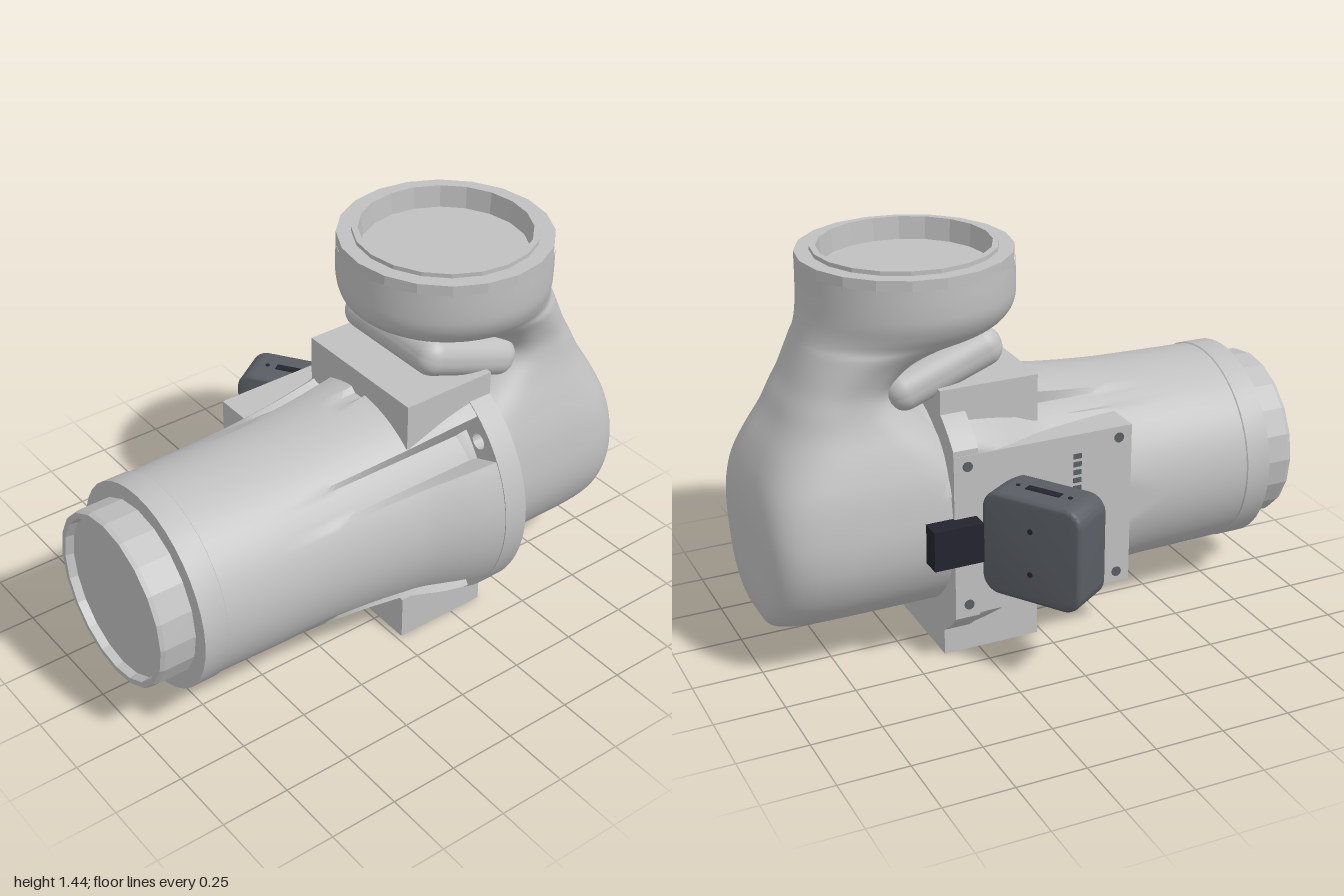
import * as THREE from 'three';
import { toCreasedNormals } from 'three/addons/utils/BufferGeometryUtils.js';
import { RoundedBoxGeometry } from 'three/addons/geometries/RoundedBoxGeometry.js';

const CX = 0.115, CY = 0.505; // main axis of the arm, along z

const shell = new THREE.MeshStandardMaterial({ name: 'light grey shell', color: 0xc0c0c0 });
const casing = new THREE.MeshStandardMaterial({ name: 'dark grey casing', color: 0x5a5e64 });
const black = new THREE.MeshStandardMaterial({ name: 'black plastic', color: 0x23242e });

function add(parent, name, geo, mat, x = 0, y = 0, z = 0) {
  const mesh = new THREE.Mesh(geo, mat);
  mesh.name = name;
  mesh.position.set(x, y, z);
  parent.add(mesh);
  return mesh;
}

const turned = (points, sides) =>
  new THREE.LatheGeometry(points.map(p => new THREE.Vector2(...p)), sides);

// Flared forearm with screw channels cut in and one side flattened
function forearmGeometry() {
  const profile = [[0.366, 0.78], [0.37, 0.6], [0.376, 0.4], [0.384, 0.28], [0.395, 0.16],
    [0.408, 0.06], [0.42, -0.02], [0.442, -0.1], [0.465, -0.18], [0.48, -0.25], [0.487, -0.295]];
  const curve = new THREE.SplineCurve(profile.reverse().map(p => new THREE.Vector2(...p)));
  const geo = new THREE.LatheGeometry(curve.getPoints(40), 144);
  geo.rotateX(Math.PI / 2);
  const channels = [[40, 0.15, 0.372], [-40, 0.15, 0.372], [120, 0.13, 0.372], [-120, 0.13, 0.372],
    [90, 0.05, 0.4], [-90, 0.05, 0.4]];
  const pos = geo.attributes.position;
  for (let i = 0; i < pos.count; i++) {
    let r = Math.hypot(pos.getX(i), pos.getY(i));
    const a = Math.atan2(pos.getY(i), pos.getX(i));
    for (const [deg, half, floor] of channels) {
      if (Math.abs(a - deg * Math.PI / 180) < half) r = Math.min(r, floor);
    }
    pos.setXY(i, Math.max(r * Math.cos(a), -0.375), r * Math.sin(a));
  }
  return toCreasedNormals(geo, 0.6);
}

// D-shaped flange with two bolt holes
function flangeGeometry() {
  const end = Math.acos(-0.375 / 0.49);
  const shape = new THREE.Shape();
  shape.absarc(0, 0, 0.49, -end, end, false);
  shape.closePath();
  for (const s of [1, -1]) {
    const hole = new THREE.Path();
    hole.absarc(0.325, s * 0.275, 0.03, 0, Math.PI * 2, true);
    shape.holes.push(hole);
  }
  const geo = new THREE.ExtrudeGeometry(shape, { depth: 0.09, bevelEnabled: false, curveSegments: 48 });
  return toCreasedNormals(geo, 0.6);
}

// Elbow lofted from level sections: [y, half width, front z, back z, squareness]
function elbowGeometry() {
  const rows = [
    [0.135, 0.002, -0.1, -0.9, 5], [0.145, 0.085, -0.1, -0.935, 5], [0.17, 0.157, -0.1, -0.965, 5],
    [0.22, 0.236, -0.1, -0.985, 5], [0.3, 0.308, -0.1, -0.995, 5], [0.4, 0.355, -0.1, -0.998, 5],
    [0.5, 0.37, -0.1, -1, 5], [0.6, 0.363, -0.15, -0.998, 4.6], [0.7, 0.345, -0.2, -0.982, 4],
    [0.8, 0.312, -0.28, -0.942, 3.4], [0.89, 0.277, -0.4, -0.892, 3], [0.96, 0.258, -0.48, -0.86, 2.7],
    [1.02, 0.252, -0.47, -0.83, 2.5], [1.09, 0.268, -0.38, -0.803, 2.3], [1.14, 0.292, -0.24, -0.785, 2.2],
    [1.17, 0.312, -0.09, -0.776, 2.1], [1.21, 0.342, -0.03, -0.767, 2], [1.26, 0.364, -0.013, -0.759, 2],
    [1.32, 0.37, -0.012, -0.756, 2], [1.39, 0.37, -0.015, -0.755, 2]];
  const splines = [1, 2, 3, 4].map(c =>
    new THREE.SplineCurve(rows.map(r => new THREE.Vector2(r[0], r[c]))));
  const levels = 76, sides = 64, verts = [], index = [];
  for (let j = 0; j <= levels; j++) {
    const p = splines.map(s => s.getPoint(j / levels));
    const [w, front, back, n] = p.map(v => v.y);
    for (let i = 0; i < sides; i++) {
      const a = i / sides * Math.PI * 2, c = Math.cos(a), s = Math.sin(a);
      const bend = v => Math.sign(v) * Math.abs(v) ** (2 / n);
      verts.push(CX + w * bend(c), p[0].x, (front + back) / 2 + (front - back) / 2 * bend(s));
      if (j < levels) {
        const q = j * sides + i, next = j * sides + (i + 1) % sides;
        index.push(q, q + sides, next, next, q + sides, next + sides);
      }
    }
  }
  const geo = new THREE.BufferGeometry();
  geo.setAttribute('position', new THREE.Float32BufferAttribute(verts, 3));
  geo.setIndex(index);
  geo.computeVertexNormals();
  return geo;
}

// Sensor box: rounded square, softly bevelled, thickness along z
function sensorGeometry() {
  const h = 0.175, r = 0.05, shape = new THREE.Shape();
  [[1, 1, 0], [-1, 1, 1], [-1, -1, 2], [1, -1, 3]].forEach(([sx, sy, k]) =>
    shape.absarc(sx * (h - r), sy * (h - r), r, k * Math.PI / 2, (k + 1) * Math.PI / 2, false));
  shape.closePath();
  const geo = new THREE.ExtrudeGeometry(shape,
    { depth: 0.15, bevelSize: 0.015, bevelThickness: 0.015, bevelSegments: 3, curveSegments: 8 });
  geo.translate(0, 0, -0.075);
  return toCreasedNormals(geo, 0.7);
}

export function createModel() {
  const model = new THREE.Group();
  model.name = 'robotArmJoint';

  // Forearm tube, flange and stepped front end
  add(model, 'forearm', forearmGeometry(), shell, CX, CY, 0);
  add(model, 'flange', flangeGeometry(), shell, CX, CY, -0.38);
  const collar = turned([[0.36, 0.77], [0.371, 0.78], [0.371, 0.87], [0.3, 0.87]], 40);
  collar.rotateX(Math.PI / 2);
  add(model, 'frontCollar', toCreasedNormals(collar, 0.6), shell, CX, CY, 0);
  const spigot = turned([[0.315, 0.86], [0.315, 0.985], [0.31, 1], [0.29, 1], [0.285, 0.97], [0, 0.97]], 20);
  spigot.rotateX(Math.PI / 2);
  add(model, 'frontSpigot', toCreasedNormals(spigot, 0.2), shell, CX, CY, 0);

  // Elbow, its shoulder bulge and the lobe below the cup
  add(model, 'elbow', elbowGeometry(), shell);
  const cut = Math.acos(0.145 / 0.415);
  const bulge = new THREE.SphereGeometry(1, 48, 20, 0, Math.PI * 2, 0, cut);
  bulge.scale(0.385, 0.415, 0.3);
  add(model, 'shoulderBulge', bulge, shell, CX, CY, -0.36);
  const under = new THREE.CircleGeometry(Math.sin(cut), 48);
  under.rotateX(Math.PI / 2);
  under.scale(0.385, 1, 0.3);
  add(model, 'bulgeUnderside', under, shell, CX, 0.65, -0.36);
  const lobe = add(model, 'neckLobe', new RoundedBoxGeometry(0.5, 0.14, 0.44, 6, 0.065), shell, CX, 1.045, -0.33);
  lobe.rotation.x = -0.36;

  // Open cup on top
  const cup = turned([[0.37, 1.38], [0.37, 1.425], [0.318, 1.425], [0.318, 1.44],
    [0.297, 1.44], [0.29, 1.36], [0, 1.36]], 20);
  add(model, 'topCup', toCreasedNormals(cup, 0.2), shell, CX, 0, -0.385);

  // Mounting blocks above and below
  for (const [name, y] of [['topBlock', 0.915], ['bottomBlock', 0.085]]) {
    add(model, name, new THREE.BoxGeometry(0.54, 0.17, 0.36), shell, CX, y, -0.2);
  }

  // Flat side panel with screws and a vent strip
  add(model, 'sidePanel', new THREE.BoxGeometry(0.2, 0.6, 0.67), shell, -0.162, 0.5, -0.045);
  for (const y of [0.24, 0.76]) for (const z of [-0.33, 0.24]) {
    const screw = add(model, 'panelScrew', new THREE.CylinderGeometry(0.018, 0.018, 0.008, 16), casing, -0.262, y, z);
    screw.rotation.z = Math.PI / 2;
  }
  for (let i = 0; i < 5; i++) {
    add(model, 'panelVent', new THREE.BoxGeometry(0.006, 0.018, 0.03), casing, -0.263, 0.6 + i * 0.03, 0.08);
  }

  // Angled sensor box with its connector
  add(model, 'connector', new THREE.BoxGeometry(0.075, 0.145, 0.18), black, -0.288, 0.5, -0.39);
  const sensor = new THREE.Group();
  sensor.name = 'sensor';
  sensor.position.set(-0.4125, 0.5, -0.12);
  sensor.rotation.y = 0.588;
  model.add(sensor);
  add(sensor, 'sensorCase', sensorGeometry(), casing);
  add(sensor, 'sensorPort', new THREE.BoxGeometry(0.13, 0.006, 0.03), black, 0, 0.19, 0);
  for (const x of [-0.1, 0.1]) {
    add(sensor, 'portScrew', new THREE.CylinderGeometry(0.008, 0.008, 0.006, 12), black, x, 0.19, 0);
  }
  for (const y of [-0.08, 0.08]) {
    const screw = add(sensor, 'backScrew', new THREE.CylinderGeometry(0.01, 0.01, 0.006, 12), black, 0, y, -0.09);
    screw.rotation.x = Math.PI / 2;
  }
  return model;
}
